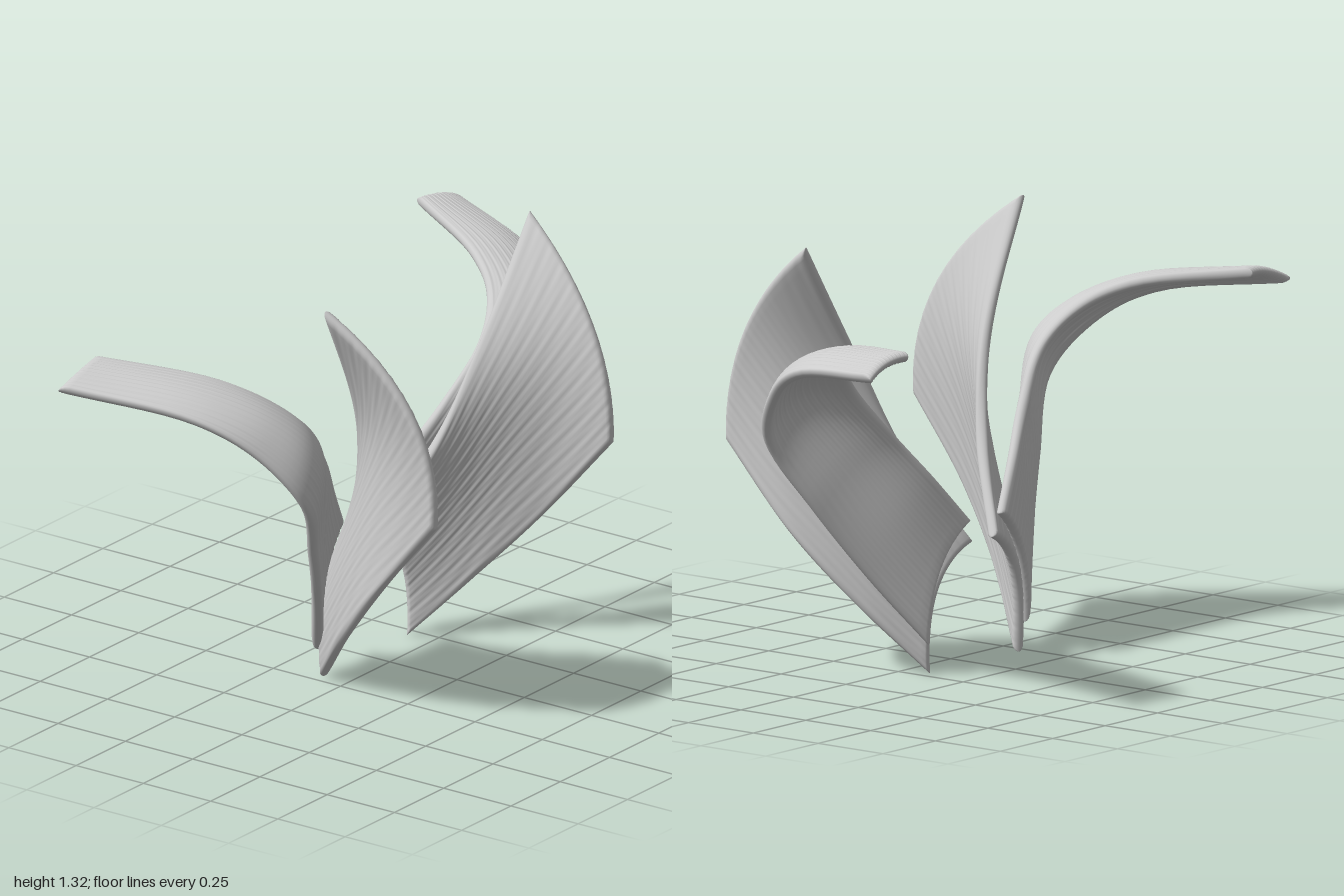
import * as THREE from 'three';
import { mergeVertices } from 'three/addons/utils/BufferGeometryUtils.js';

const material = new THREE.MeshStandardMaterial({ color: 0xcccccc });
const HALF = 0.017; // half thickness of a blade

// Each blade is swept between three lengthwise curves: lower edge, middle, upper edge.
const frontBlade = {
  width: 0.6, length: 0.9,
  curves: [
    [[.21, 0, -.09], [.33, .19, .075], [.42, .40, .26], [.45, .68, .50]],
    [[.185, .25, -.10], [.29, .50, .07], [.38, .77, .25], [.46, 1.03, .42]],
    [[.05, .38, -.12], [.17, .63, .02], [.30, .93, .10], [.52, 1.32, .14]],
  ],
};
const backBlade = {
  width: 0.33, length: 1.3,
  curves: [
    [[.23, .09, -.10], [.38, .30, .01], [.53, .52, .10], [.67, .74, .165], [.77, .91, .06], [.86, 1.01, -.10], [1, 1.07, -.5]],
    [[.19, .31, -.11], [.30, .47, -.04], [.42, .66, .05], [.57, .87, .13], [.66, .98, .05], [.76, 1.06, -.12], [.91, 1.105, -.49]],
    [[.07, .45, -.13], [.19, .60, -.08], [.31, .74, -.03], [.45, .89, 0], [.56, .99, -.05], [.65, 1.06, -.17], [.82, 1.115, -.5]],
  ],
};

// Even steps, with extra steps at both ends for the rounded rim
function steps(n, rim) {
  const ends = [0, 0.06, 0.25, 0.55].map((f) => f * rim);
  const list = [...ends];
  for (let i = 0; i <= n; i++) list.push(rim + (1 - 2 * rim) * i / n);
  return [...list, ...ends.reverse().map((e) => 1 - e)];
}

function bladeGeometry({ curves, width, length }, side) {
  const lines = curves.map((c) => new THREE.CatmullRomCurve3(c.map((p) => new THREE.Vector3(...p))));
  const point = (u, v) => {
    const [a, b, c] = lines.map((l) => l.getPoint(u));
    return a.multiplyScalar((1 - v) * (1 - 2 * v))
      .addScaledVector(b, 4 * v * (1 - v))
      .addScaledVector(c, v * (2 * v - 1));
  };
  const us = steps(44, HALF / length), vs = steps(88, HALF / width);
  const positions = [], index = [];
  const count = us.length * vs.length, e = 1e-3;

  for (const face of [1, -1]) {
    for (const u of us) for (const v of vs) {
      const p = point(u, v);
      const u0 = Math.max(0, u - e), u1 = Math.min(1, u + e);
      const v0 = Math.max(0, v - e), v1 = Math.min(1, v + e);
      const n = point(u1, v).sub(point(u0, v)).cross(point(u, v1).sub(point(u, v0))).normalize();
      // Round rim, plus fine lengthwise grooves
      const d = Math.min(1, Math.min(u, 1 - u) * length / HALF, Math.min(v, 1 - v) * width / HALF);
      const rim = Math.sqrt(Math.max(0, 1 - (1 - d) ** 2));
      const groove = 0.0012 * Math.sin(v * 118 + Math.sin(u * 9)) * Math.sin(v * 37 + u * 11);
      p.addScaledVector(n, face * rim * (HALF + groove));
      positions.push(p.x * side, p.y, p.z);
    }
    const base = face > 0 ? 0 : count;
    for (let i = 0; i < us.length - 1; i++) for (let j = 0; j < vs.length - 1; j++) {
      const a = base + i * vs.length + j, b = a + vs.length, c = b + 1, f = a + 1;
      if (face * side > 0) index.push(a, b, c, a, c, f);
      else index.push(a, c, b, a, f, c);
    }
  }
  const raw = new THREE.BufferGeometry();
  raw.setAttribute('position', new THREE.Float32BufferAttribute(positions, 3));
  raw.setIndex(index);
  const geometry = mergeVertices(raw, 1e-5);
  geometry.computeVertexNormals();
  return geometry;
}

export function createModel() {
  const model = new THREE.Group();
  model.name = 'curvedBlades';
  for (const [name, side] of [['left', 1], ['right', -1]]) {
    const pair = new THREE.Group();
    pair.name = name + 'BladePair';
    for (const [part, blade] of [['FrontBlade', frontBlade], ['BackBlade', backBlade]]) {
      const mesh = new THREE.Mesh(bladeGeometry(blade, side), material);
      mesh.name = name + part;
      pair.add(mesh);
    }
    model.add(pair);
  }
  return model;
}
